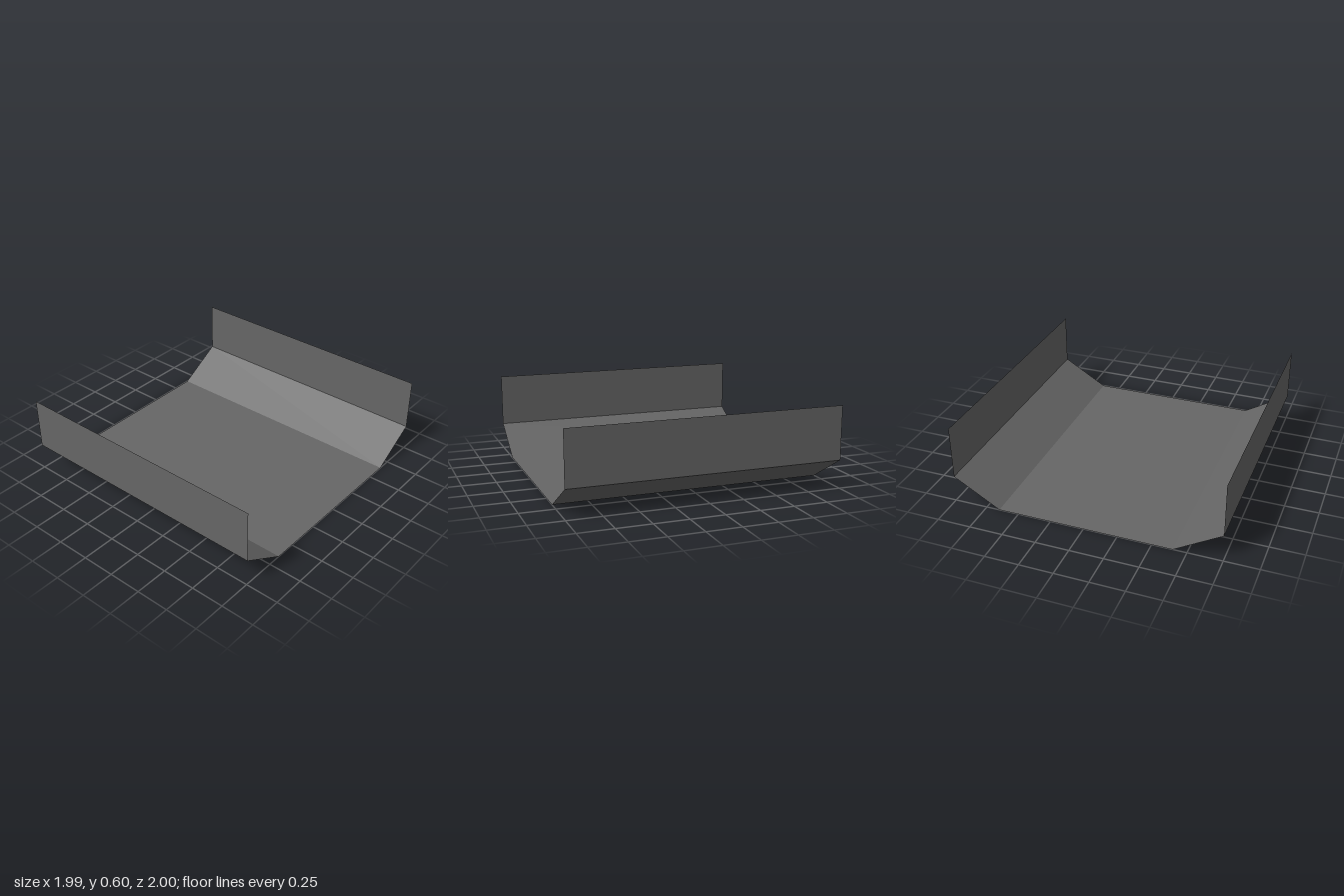
import * as THREE from 'three';

// Open channel: flat floor, sloping shoulders and upright side walls, all thin sheet.
export function createModel() {
  const group = new THREE.Group();
  group.name = 'channel';
  const darkGrey = new THREE.MeshStandardMaterial({ color: 0x666666, side: THREE.DoubleSide });
  darkGrey.name = 'dark grey';

  const length = 2;
  // One flat sheet spanning the full length between two profile points
  function addSheet(name, [x0, y0], [x1, y1]) {
    const geometry = new THREE.PlaneGeometry(Math.hypot(x1 - x0, y1 - y0), length);
    geometry.rotateX(-Math.PI / 2);
    geometry.rotateZ(Math.atan2(y1 - y0, x1 - x0));
    geometry.translate((x0 + x1) / 2, (y0 + y1) / 2, 0);
    const mesh = new THREE.Mesh(geometry, darkGrey);
    mesh.name = name;
    group.add(mesh);
  }

  // Cross-section from right rim to left rim; normals face the inside
  const profile = [[-0.995, 0.6], [-0.995, 0.205], [-0.65, 0], [0.65, 0], [0.995, 0.205], [0.995, 0.6]];
  const names = ['rightWall', 'rightShoulder', 'floor', 'leftShoulder', 'leftWall'];
  names.forEach((name, i) => addSheet(name, profile[i], profile[i + 1]));
  return group;
}
